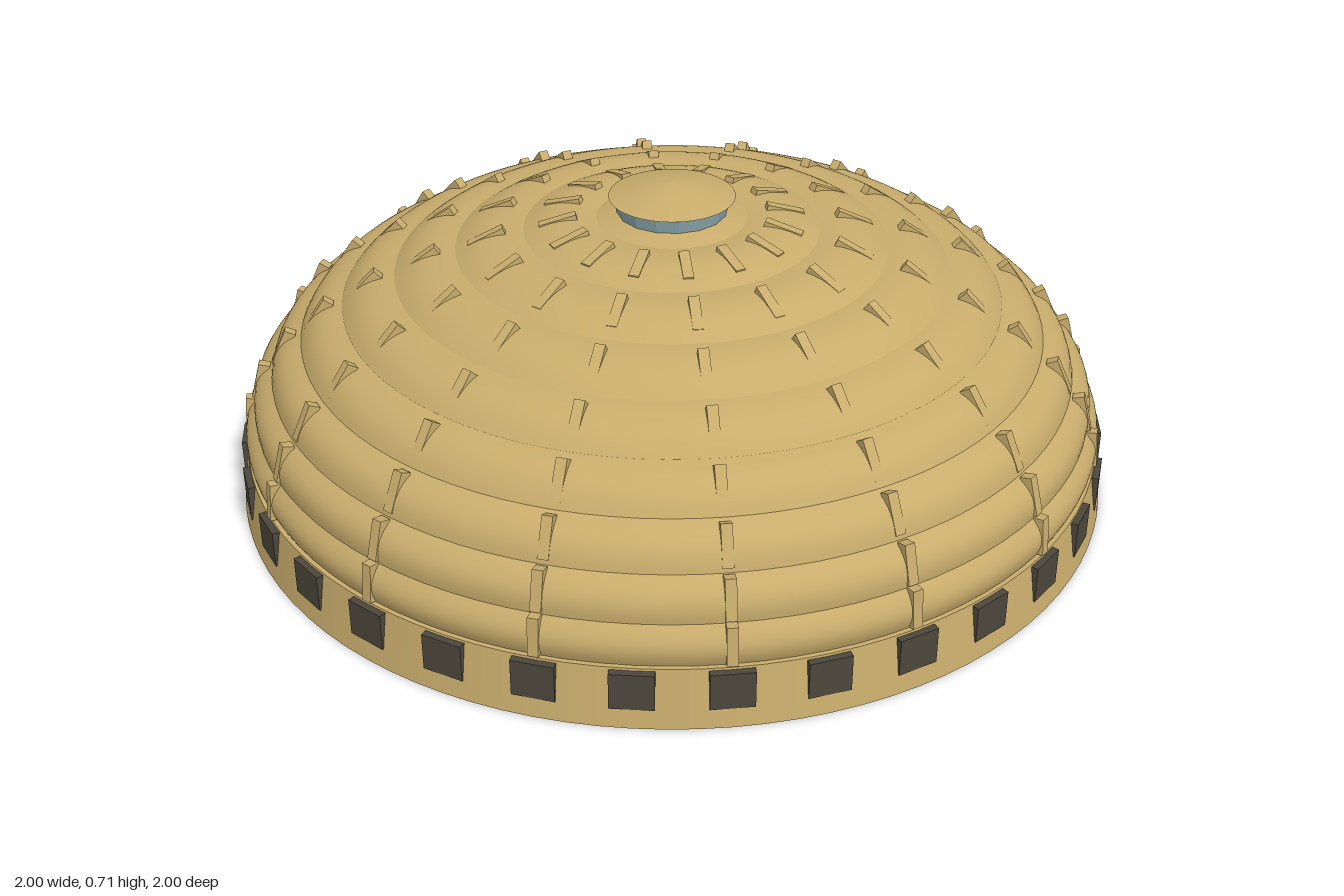
import * as THREE from 'three';

const RX = 0.97, RY = 0.5, BASE = 0.13, STEP = Math.PI / 18;

export function createModel() {
  const model = new THREE.Group();
  model.name = 'tieredDome';
  const mat = (name, color, extra = {}) => {
    const m = new THREE.MeshStandardMaterial({ color, ...extra });
    m.name = name;
    return m;
  };
  const stone = mat('sandstone', 0xc8ac6c);
  const dark = mat('darkWindow', 0x4c473c);
  const glass = mat('lanternGlass', 0x8fabb0, { flatShading: true });

  const add = (name, geometry, material, parent = model) => {
    const mesh = new THREE.Mesh(geometry, material);
    mesh.name = name;
    parent.add(mesh);
    return mesh;
  };
  const group = (name) => {
    const g = new THREE.Group();
    g.name = name;
    model.add(g);
    return g;
  };

  // Tapered base drum with closed underside
  add('drum', new THREE.CylinderGeometry(0.98, 1, BASE, 96), stone).position.y = BASE / 2;

  // Nine bulging tiers, each a separate lathe so the grooves stay crisp
  const tiers = group('tiers');
  for (let i = 0; i < 9; i++) {
    const points = [];
    for (let k = 0; k <= 8; k++) {
      const t = (i + k / 8) * STEP;
      const bulge = 0.014 * Math.sin(Math.PI * k / 8);
      const n = new THREE.Vector2(Math.cos(t) / RX, Math.sin(t) / RY).normalize();
      points.push(new THREE.Vector2(
        Math.max(0, RX * Math.cos(t) + n.x * bulge),
        BASE + RY * Math.sin(t) + n.y * bulge));
    }
    add('tier', new THREE.LatheGeometry(points, 96), stone, tiers);
  }

  // Sixteen rows of leaning rib blocks, one block per tier
  const ribs = group('ribs');
  const block = new THREE.BoxGeometry(0.023, 0.086, 0.026);
  for (let a = 0; a < 16; a++) {
    const rib = new THREE.Group();
    rib.name = 'rib';
    rib.rotation.y = a * Math.PI / 8;
    ribs.add(rib);
    for (let i = 0; i < 8; i++) {
      const t = (i + 0.5) * STEP;
      const b = add('ribBlock', block, stone, rib);
      b.position.set(0, BASE + RY * Math.sin(t) + 0.004, RX * Math.cos(t) + 0.003);
      b.rotation.x = -t;
    }
  }

  // Ring of thirty-two upright windows around the drum
  const windows = group('windows');
  const pane = new THREE.BoxGeometry(0.09, 0.083, 0.03);
  for (let a = 0; a < 32; a++) {
    const angle = a * Math.PI / 16;
    const w = add('window', pane, dark, windows);
    w.position.set(Math.sin(angle) * 0.98, 0.0835, Math.cos(angle) * 0.98);
    w.rotation.y = angle;
  }

  // Faceted lantern, wider at the top
  add('lantern', new THREE.CylinderGeometry(0.133, 0.112, 0.085, 16), glass).position.y = 0.6325;

  // Shallow lantern cap with a flat underside
  const cap = [[0, 0.673], [0.142, 0.673]].map(p => new THREE.Vector2(...p));
  add('capUnderside', new THREE.LatheGeometry(cap, 48), stone);
  const roof = [[0.142, 0.673], [0.105, 0.684], [0.07, 0.694], [0.035, 0.702], [0, 0.706]];
  add('capRoof', new THREE.LatheGeometry(roof.map(p => new THREE.Vector2(...p)), 48), stone);

  return model;
}
